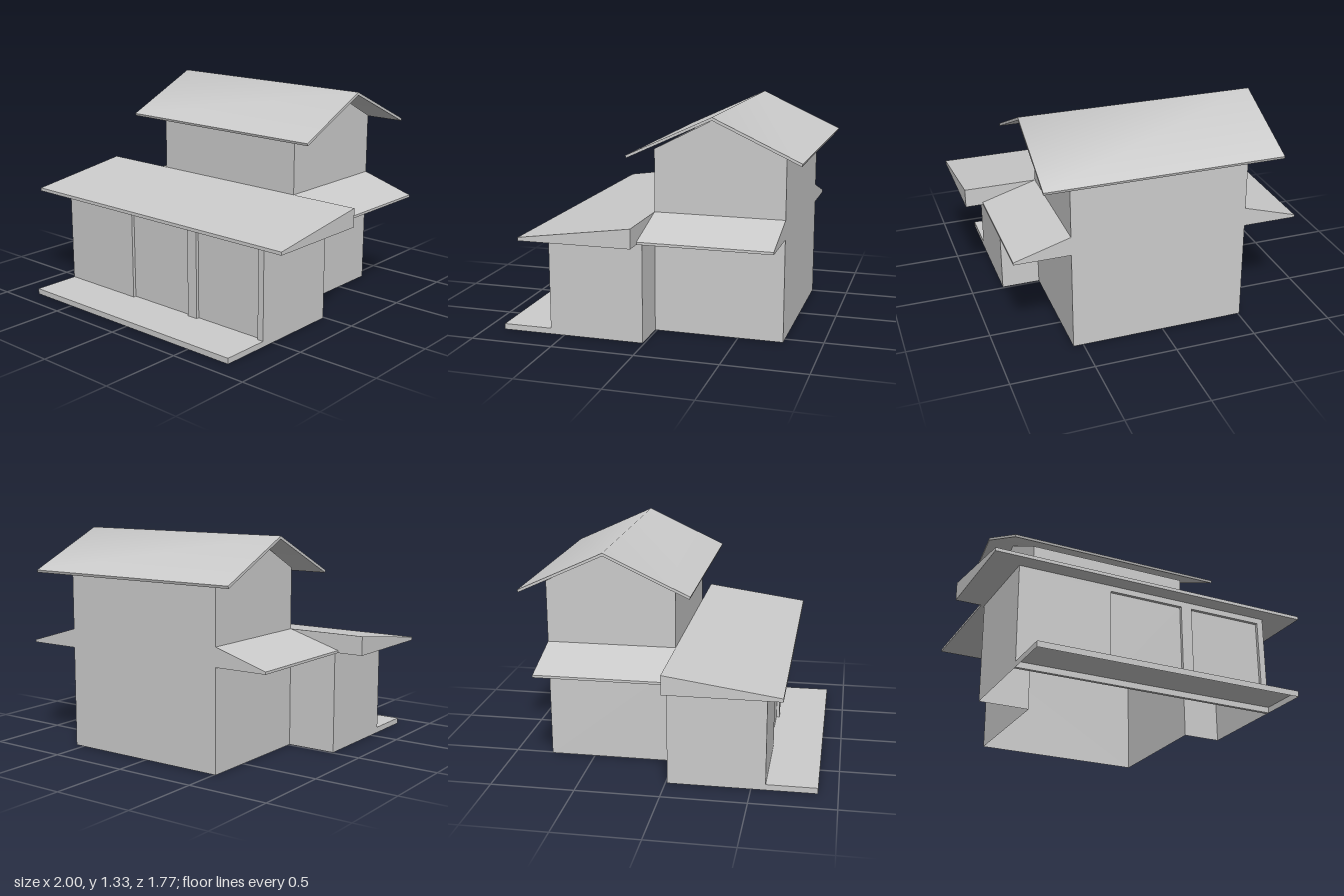
import * as THREE from 'three';
import { mergeGeometries, toCreasedNormals } from 'three/addons/utils/BufferGeometryUtils.js';

const material = new THREE.MeshStandardMaterial({ color: 0xcccccc, side: THREE.DoubleSide });

// Upright thin walls following a plan path of [x, z] points
function walls(path, y0, y1) {
  const planes = [];
  for (let i = 0; i + 1 < path.length; i++) {
    const [ax, az] = path[i], [bx, bz] = path[i + 1];
    const plane = new THREE.PlaneGeometry(Math.hypot(bx - ax, bz - az), y1 - y0);
    plane.rotateY(Math.atan2(az - bz, bx - ax));
    plane.translate((ax + bx) / 2, (y0 + y1) / 2, (az + bz) / 2);
    planes.push(plane);
  }
  return mergeGeometries(planes);
}

const shapeOf = (points) => new THREE.Shape(points.map(([u, v]) => new THREE.Vector2(u, v)));

// Profile in (x, y) extruded from z0 to z1
function extrudeZ(shape, z0, z1) {
  return new THREE.ExtrudeGeometry(shape, { depth: z1 - z0, bevelEnabled: false }).translate(0, 0, z0);
}

// Profile in (z, y) extruded from x0 to x1
function extrudeX(points, x0, x1) {
  return extrudeZ(shapeOf(points), 0, x1 - x0).rotateY(-Math.PI / 2).translate(x1, 0, 0);
}

const rect = (x0, x1, y0, y1) => [[x0, y0], [x1, y0], [x1, y1], [x0, y1]];

export function createModel() {
  const model = new THREE.Group();
  model.name = 'house';
  const add = (name, geometry) => {
    const mesh = new THREE.Mesh(geometry, material);
    mesh.name = name;
    model.add(mesh);
  };

  // Main plan lines
  const hL = -0.82, hR = 0.8, hFront = 0.585;        // front house
  const tL = -0.51, tR = 0.56, tBack = -0.77, mid = 0.01; // tower
  const eave = 0.615, towerTop = 1.105, ridgeZ = -0.38;

  // Ground floor walls, open underneath and joined into one T-shaped room
  add('groundFloorWalls', walls([
    [hR, hFront], [hR, mid], [tR, mid], [tR, tBack],
    [tL, tBack], [tL, mid], [hL, mid], [hL, hFront],
  ], 0, eave));

  // Front wall with two shallow door recesses
  const front = shapeOf(rect(hL, hR, 0, eave));
  const doors = [[-0.25, 0.22], [0.29, 0.76]];
  for (const [x0, x1] of doors) {
    front.holes.push(new THREE.Path(shapeOf(rect(x0, x1, 0.035, 0.58)).getPoints()));
    add('door', walls([[x0, hFront - 0.019], [x1, hFront - 0.019]], 0.035, 0.58));
  }
  add('frontWall', extrudeZ(front, hFront - 0.02, hFront));

  // Porch step: a top and three edges, hollow below
  const step = [[hL, hFront], [hL, 0.885], [hR, 0.885], [hR, hFront]];
  add('porchStepEdges', walls(step, 0, 0.035));
  add('porchStepTop', new THREE.PlaneGeometry(hR - hL, 0.3).rotateX(-Math.PI / 2)
    .translate((hL + hR) / 2, 0.035, 0.735));

  // Upper floor and gable
  add('upperFloorWalls', walls(
    [[tL, mid], [tR, mid], [tR, tBack], [tL, tBack], [tL, mid]], eave, towerTop));
  add('gable', extrudeX([[tBack, towerTop], [mid, towerTop], [ridgeZ, 1.305]], tL, tR));

  // Lean-to roofs around the tower
  add('frontRoof', extrudeX([[mid, eave], [0.685, eave], [0.685, 0.635], [mid, 0.73]], -1, 1));
  for (const [wall, edge] of [[tR, 0.895], [tL, -0.84]]) {
    add('sideRoof', extrudeZ(
      shapeOf([[wall, eave], [edge, eave], [edge, 0.63], [wall, 0.73]]), tBack, mid));
  }

  // Thin gabled top roof, softly shaded across the ridge
  const roof = extrudeX([
    [0.12, 1.075], [0.125, 1.09], [ridgeZ, 1.325],
    [-0.89, 1.09], [-0.885, 1.075], [ridgeZ, 1.307],
  ], -0.68, 0.74);
  add('topRoof', toCreasedNormals(roof, Math.PI / 3));

  return model;
}
